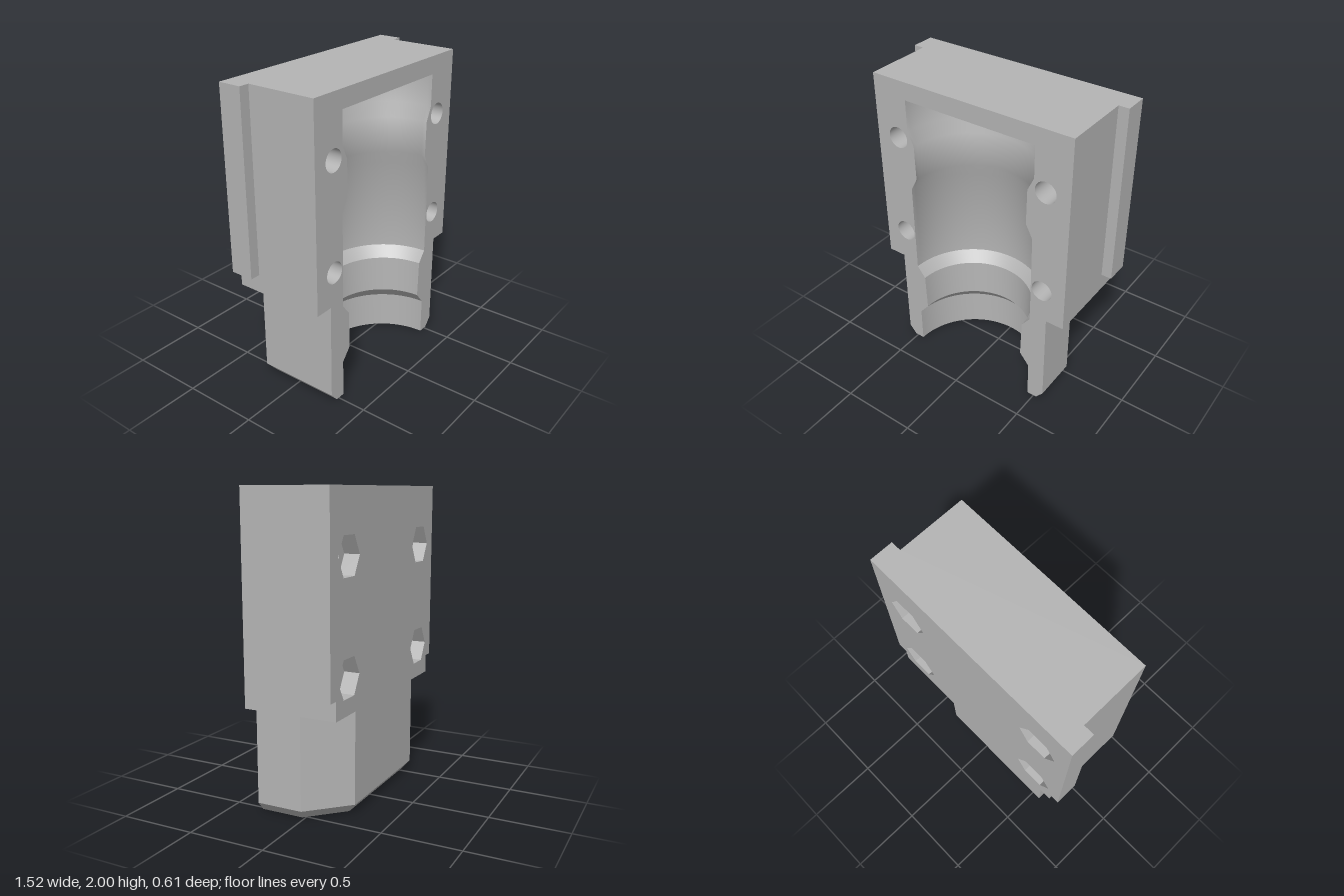
import * as THREE from 'three';
import { toCreasedNormals } from 'three/addons/utils/BufferGeometryUtils.js';

const FRONT = 0.305, BACK = -0.305, SHOULDER = -0.15, POCKET = -0.205;
const TOP = 2, STEP = 0.7, BORE = 0.453, HOLE = 0.07;

// Bore radius against height, bottom to top
const boreProfile = [
  [BORE, 0], [BORE, 0.25], [0.387, 0.33], [0.395, 0.58], [BORE, 0.655],
  [BORE, 1.27], [0.407, 1.36], [0.411, 1.59], [BORE, 1.68], [BORE, 1.885],
];
const boltCentres = [[-0.53, 0.92], [0.53, 0.92], [-0.53, 1.615], [0.53, 1.615]];

const toShape = pts => new THREE.Shape(pts.map(p => new THREE.Vector2(...p)));

// Cuts the bolt holes: 6 sides for the nut pockets, many for round holes
function drill(shape, radius, sides) {
  for (const [x, y] of boltCentres) {
    const pts = [];
    for (let i = 0; i < sides; i++) {
      const a = (i / sides) * Math.PI * 2;
      pts.push(new THREE.Vector2(x + radius * Math.cos(a), y + radius * Math.sin(a)));
    }
    shape.holes.push(new THREE.Path(pts));
  }
  return shape;
}

// Flat-sided wall through open plan outlines; each ring is { y, pts: [[x, z], ...] }
function skirt(rings) {
  const pos = [];
  for (let r = 0; r + 1 < rings.length; r++) {
    const lo = rings[r], hi = rings[r + 1];
    for (let i = 0; i + 1 < lo.pts.length; i++) {
      const at = (ring, k) => [ring.pts[k][0], ring.y, ring.pts[k][1]];
      const a = at(lo, i), b = at(lo, i + 1), c = at(hi, i + 1), d = at(hi, i);
      pos.push(...a, ...b, ...c, ...a, ...c, ...d);
    }
  }
  const geo = new THREE.BufferGeometry();
  geo.setAttribute('position', new THREE.Float32BufferAttribute(pos, 3));
  geo.computeVertexNormals();
  return geo;
}

// Downward face of a plan outline with the half-round bore opening
function underside(pts, y) {
  const shape = toShape(pts);
  shape.lineTo(-BORE, FRONT);
  shape.absarc(0, FRONT, BORE, Math.PI, Math.PI * 2, false);
  shape.closePath();
  return new THREE.ShapeGeometry(shape, 48).rotateX(Math.PI / 2).translate(0, y, 0);
}

export function createModel() {
  const group = new THREE.Group();
  const grey = new THREE.MeshStandardMaterial({ color: 0xb4b4b4 });
  grey.name = 'plain grey';
  const add = (name, geo) => {
    const mesh = new THREE.Mesh(geo, grey);
    mesh.name = name;
    group.add(mesh);
  };

  // Front parting face, following the bore on its inner edge
  const outer = [[0.52, 0], [0.57, 0.06], [0.57, STEP], [0.69, STEP], [0.69, TOP]];
  const mirror = pts => pts.map(([x, y]) => [-x, y]).reverse();
  const frontShape = toShape([
    ...outer, ...mirror(outer),
    ...boreProfile.map(([r, y]) => [-r, y]), ...[...boreProfile].reverse(),
  ]);
  add('frontFace', new THREE.ShapeGeometry(drill(frontShape, HOLE, 40)).translate(0, 0, FRONT));

  // Half-round stepped bore and its ceiling
  const inward = [...boreProfile].reverse().map(p => new THREE.Vector2(...p));
  const bore = new THREE.LatheGeometry(inward, 48, Math.PI / 2, Math.PI);
  add('bore', toCreasedNormals(bore, 0.58).translate(0, 0, FRONT));
  add('boreCeiling', new THREE.CircleGeometry(BORE, 48, Math.PI, Math.PI)
    .rotateX(Math.PI / 2).translate(0, 1.885, FRONT));

  // Block sides, top and underside
  const blockPlan = [[0.69, FRONT], [0.69, SHOULDER], [-0.69, SHOULDER], [-0.69, FRONT]];
  const sides = new THREE.Group();
  sides.name = 'blockSides';
  for (const run of [blockPlan.slice(0, 2), blockPlan.slice(2)]) {
    sides.add(new THREE.Mesh(skirt([{ y: STEP, pts: run }, { y: TOP, pts: run }]), grey));
    sides.children.at(-1).name = 'blockSide';
  }
  group.add(sides);
  add('blockTop', new THREE.PlaneGeometry(1.38, FRONT - SHOULDER)
    .rotateX(-Math.PI / 2).translate(0, TOP, (FRONT + SHOULDER) / 2));
  add('blockUnderside', underside(blockPlan, STEP));

  // Back plate in two layers: hexagonal nut pockets behind round bolt holes
  const platePts = [[0.69, STEP], [0.69, 0.82], [0.758, 0.82], [0.758, TOP]];
  const plate = (radius, sideCount, z0, z1) => new THREE.ExtrudeGeometry(
    drill(toShape([...platePts, ...mirror(platePts)]), radius, sideCount),
    { depth: z1 - z0, bevelEnabled: false }).translate(0, 0, z0);
  add('nutPocketPlate', plate(0.135, 6, BACK, POCKET));
  add('flangePlate', plate(HOLE, 40, POCKET, SHOULDER));

  // Bolt hole walls through the block
  for (const [x, y] of boltCentres) {
    const wall = [new THREE.Vector2(HOLE, FRONT), new THREE.Vector2(HOLE, POCKET)];
    add('boltHole', new THREE.LatheGeometry(wall, 40).rotateX(Math.PI / 2).translate(x, y, 0));
  }

  // Lower neck: one chamfered back corner and a bevelled bottom edge
  const neckPlan = [[0.57, FRONT], [0.57, 0], [0.325, -0.245], [-0.57, -0.245], [-0.57, FRONT]];
  const footPlan = [[0.52, FRONT], [0.52, 0.02], [0.304, -0.195], [-0.52, -0.195], [-0.52, FRONT]];
  add('neck', skirt([{ y: 0, pts: footPlan }, { y: 0.06, pts: neckPlan }, { y: STEP, pts: neckPlan }]));
  add('neckUnderside', underside(footPlan, 0));

  return group;
}
